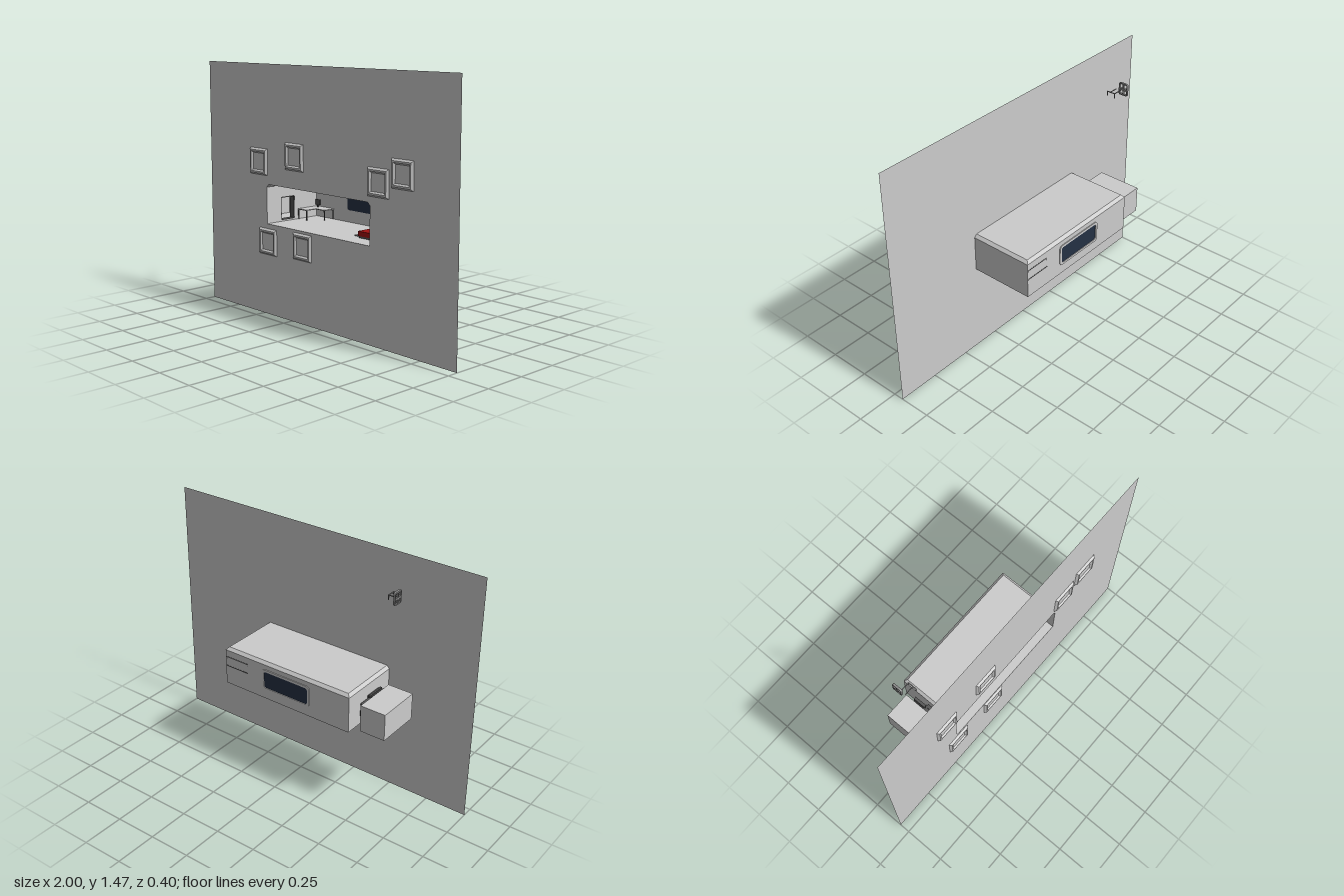
import * as THREE from 'three';

const material = (color = 0xcccccc) =>
  new THREE.MeshStandardMaterial({ color, flatShading: true, side: THREE.DoubleSide });
const grey = material(), dark = material(0x555555), metal = material(0x888888);
const red = material(0xa01010), glass = material(0x243044);

export function createModel() {
  const model = new THREE.Group();
  const add = (name, geometry, mat = grey, parent = model) => {
    const mesh = new THREE.Mesh(geometry, mat);
    mesh.name = name;
    parent.add(mesh);
    return mesh;
  };
  // Box given by its two extremes on each axis
  const box = (name, x0, x1, y0, y1, z0, z1, mat = grey, parent = model) => {
    const mesh = add(name, new THREE.BoxGeometry(x1 - x0, y1 - y0, z1 - z0), mat, parent);
    mesh.position.set((x0 + x1) / 2, (y0 + y1) / 2, (z0 + z1) / 2);
    return mesh;
  };
  const quad = (name, a, b, c, d) => {
    const g = new THREE.BufferGeometry();
    g.setAttribute('position', new THREE.Float32BufferAttribute([a, b, c, a, c, d].flat(), 3));
    g.computeVertexNormals();
    return add(name, g);
  };
  const polygon = (points) => new THREE.Shape(points.map(([x, y]) => new THREE.Vector2(x, y)));
  const rectangle = (x0, x1, y0, y1) => polygon([[x0, y0], [x1, y0], [x1, y1], [x0, y1]]);
  const rounded = (x0, x1, y0, y1, r) => {
    const s = new THREE.Shape();
    s.absarc(x1 - r, y1 - r, r, 0, Math.PI / 2);
    s.absarc(x0 + r, y1 - r, r, Math.PI / 2, Math.PI);
    s.absarc(x0 + r, y0 + r, r, Math.PI, Math.PI * 1.5);
    s.absarc(x1 - r, y0 + r, r, Math.PI * 1.5, Math.PI * 2);
    s.closePath();
    return s;
  };

  const L = -0.465, R = 0.385, floorY = 0.54, eaveY = 0.755, roofY = 0.772;
  const front = 0.187, back = -0.195, cut = 0.016;

  // Large facade with the opening of the room
  const facade = rectangle(-1, 1, 0, 1.465);
  facade.holes.push(polygon([[L, floorY], [R, floorY], [R, eaveY],
    [R - cut, roofY], [L + cut, roofY], [L, eaveY]]));
  add('facade', new THREE.ShapeGeometry(facade)).position.z = front;

  // Square bevelled frames on the facade, each a four-sided lathe
  const profile = [[0.0775, 0], [0.067, 0.013], [0.058, 0.013], [0.049, 0.003], [0, 0.003]]
    .map(([r, h]) => new THREE.Vector2(r * Math.SQRT2, h));
  const frameGeometry = new THREE.LatheGeometry(profile, 4)
    .rotateY(Math.PI / 4).rotateX(Math.PI / 2);
  [[-0.535, 0.9], [-0.22, 0.952], [0.447, 0.882], [0.62, 0.943], [-0.458, 0.434], [-0.155, 0.447]]
    .forEach(([x, y]) => add('wallFrame', frameGeometry).position.set(x, y, front));

  // Room shell with sloped edges under the roof
  quad('floor', [L, floorY, front], [R, floorY, front], [R, floorY, back], [L, floorY, back]);
  quad('roof', [L + cut, roofY, front], [R - cut, roofY, front],
    [R - cut, roofY, back + cut], [L + cut, roofY, back + cut]);
  quad('leftWall', [R, floorY, front], [R, floorY, back], [R, eaveY, back], [R, eaveY, front]);
  for (const [x, inner] of [[L, L + cut], [R, R - cut]])
    quad('sideSlope', [x, eaveY, front], [x, eaveY, back],
      [inner, roofY, back + cut], [inner, roofY, front]);
  quad('backSlope', [R, eaveY, back], [L, eaveY, back],
    [L + cut, roofY, back + cut], [R - cut, roofY, back + cut]);

  const backWall = rectangle(L, R, floorY, eaveY);
  backWall.holes.push(rounded(-0.2, 0.115, 0.603, 0.721, 0.018));
  add('backWall', new THREE.ShapeGeometry(backWall)).position.z = back;

  // Side walls with a doorway, drawn in z and y
  const doorWall = (name, x, z0, z1, top) => {
    const s = rectangle(-z1, -z0, floorY, top);
    s.holes.push(rectangle(-0.08, 0.02, floorY + 0.008, 0.68));
    const mesh = add(name, new THREE.ShapeGeometry(s));
    mesh.rotation.y = Math.PI / 2;
    mesh.position.x = x;
  };
  doorWall('rightWall', L, back, front, eaveY);

  // Window pane and its raised rim
  add('windowPane', new THREE.ShapeGeometry(rounded(-0.2, 0.115, 0.603, 0.721, 0.018)), glass)
    .position.z = back - 0.001;
  const rim = rounded(-0.206, 0.121, 0.597, 0.727, 0.022);
  rim.holes.push(rounded(-0.192, 0.107, 0.611, 0.713, 0.014));
  add('windowRim', new THREE.ExtrudeGeometry(rim, { depth: 0.005, bevelEnabled: false }))
    .position.z = -0.2;

  // Side cabin, open towards the passage
  const [c0, c1, d0, d1, cabinTop] = [-0.66, -0.505, -0.145, 0.122, 0.7];
  doorWall('cabinDoorWall', c1, d0, d1, cabinTop);
  quad('cabinEnd', [c0, floorY, d0], [c0, floorY, d1], [c0, cabinTop, d1], [c0, cabinTop, d0]);
  for (const z of [d0, d1])
    quad('cabinSide', [c0, floorY, z], [c1, floorY, z], [c1, cabinTop, z], [c0, cabinTop, z]);
  for (const y of [floorY, cabinTop])
    quad('cabinSlab', [c0, y, d0], [c0, y, d1], [c1, y, d1], [c1, y, d0]);

  // Ribbed passage between room and cabin
  for (let i = 0; i < 4; i++) {
    const o = i % 2 ? 0.006 : 0;
    const rib = rectangle(-0.088 + o, 0.025 - o, floorY + o, 0.692 - o);
    rib.holes.push(rectangle(-0.078, 0.018, floorY + 0.01, 0.68));
    const mesh = add('passageRib',
      new THREE.ExtrudeGeometry(rib, { depth: 0.01, bevelEnabled: false }), dark);
    mesh.rotation.y = Math.PI / 2;
    mesh.position.x = c1 + i * 0.01;
  }
  box('slidingDoor', -0.492, -0.476, floorY + 0.005, 0.68, -0.103, -0.025, dark);

  // Corner desk on thin legs, with a small screen
  const desk = new THREE.Group();
  desk.name = 'cornerDesk';
  model.add(desk);
  box('deskTop', -0.46, -0.31, 0.597, 0.602, back, -0.12, grey, desk);
  box('deskWing', -0.46, -0.385, 0.597, 0.602, -0.12, -0.045, grey, desk);
  for (const [x, z] of [[-0.312, -0.122], [-0.312, -0.19], [-0.387, -0.048], [-0.457, -0.048]])
    box('deskLeg', x - 0.003, x + 0.003, floorY, 0.597, z - 0.003, z + 0.003, dark, desk);
  box('screen', -0.44, -0.402, 0.615, 0.648, -0.17, -0.165, dark, desk);
  box('screenStand', -0.426, -0.416, 0.602, 0.616, -0.172, -0.163, dark, desk);

  // Low couch with cushion and floor mat
  box('couchBase', 0.2, 0.38, floorY + 0.002, 0.553, -0.005, 0.085, dark);
  box('couchSeat', 0.195, 0.383, 0.553, 0.58, -0.01, 0.09, red);
  box('cushion', 0.335, 0.37, 0.58, 0.592, 0.005, 0.075).rotation.z = 0.35;
  box('floorMat', 0.135, 0.2, floorY + 0.001, 0.546, 0, 0.06, metal);

  // Thin wall shelves with turned-down ends
  for (const [x0, y] of [[0.228, 0.713], [0.225, 0.655]]) {
    box('shelf', x0, 0.382, y - 0.003, y + 0.003, back - 0.001, -0.14, dark);
    for (const x of [x0, 0.376])
      box('shelfEnd', x, x + 0.006, y - 0.013, y, back, -0.14, dark);
  }

  // Chair hung high behind the facade: barred back, seat rail and legs
  const chair = new THREE.Group();
  chair.name = 'hangingChair';
  model.add(chair);
  const chairBack = rounded(0.004, 0.062, 1.293, 1.367, 0.01);
  for (const [y0, y1] of [[1.3, 1.322], [1.334, 1.359]])
    for (const z of [0.01, 0.036])
      chairBack.holes.push(rectangle(z, z + 0.02, y0, y1));
  const backFrame = add('chairBack',
    new THREE.ExtrudeGeometry(chairBack, { depth: 0.012, bevelEnabled: false }), metal, chair);
  backFrame.rotation.y = Math.PI / 2;
  backFrame.position.x = -0.635;
  box('chairRail', -0.623, -0.565, 1.318, 1.322, -0.02, -0.015, metal, chair);
  box('chairRail', -0.57, -0.565, 1.318, 1.322, -0.02, 0.034, metal, chair);
  box('chairRail', -0.623, -0.565, 1.318, 1.322, 0.01, 0.014, metal, chair);
  box('chairLeg', -0.57, -0.565, 1.293, 1.32, 0.03, 0.034, metal, chair);
  box('chairLeg', -0.57, -0.565, 1.293, 1.32, -0.02, -0.016, metal, chair);

  return model;
}
